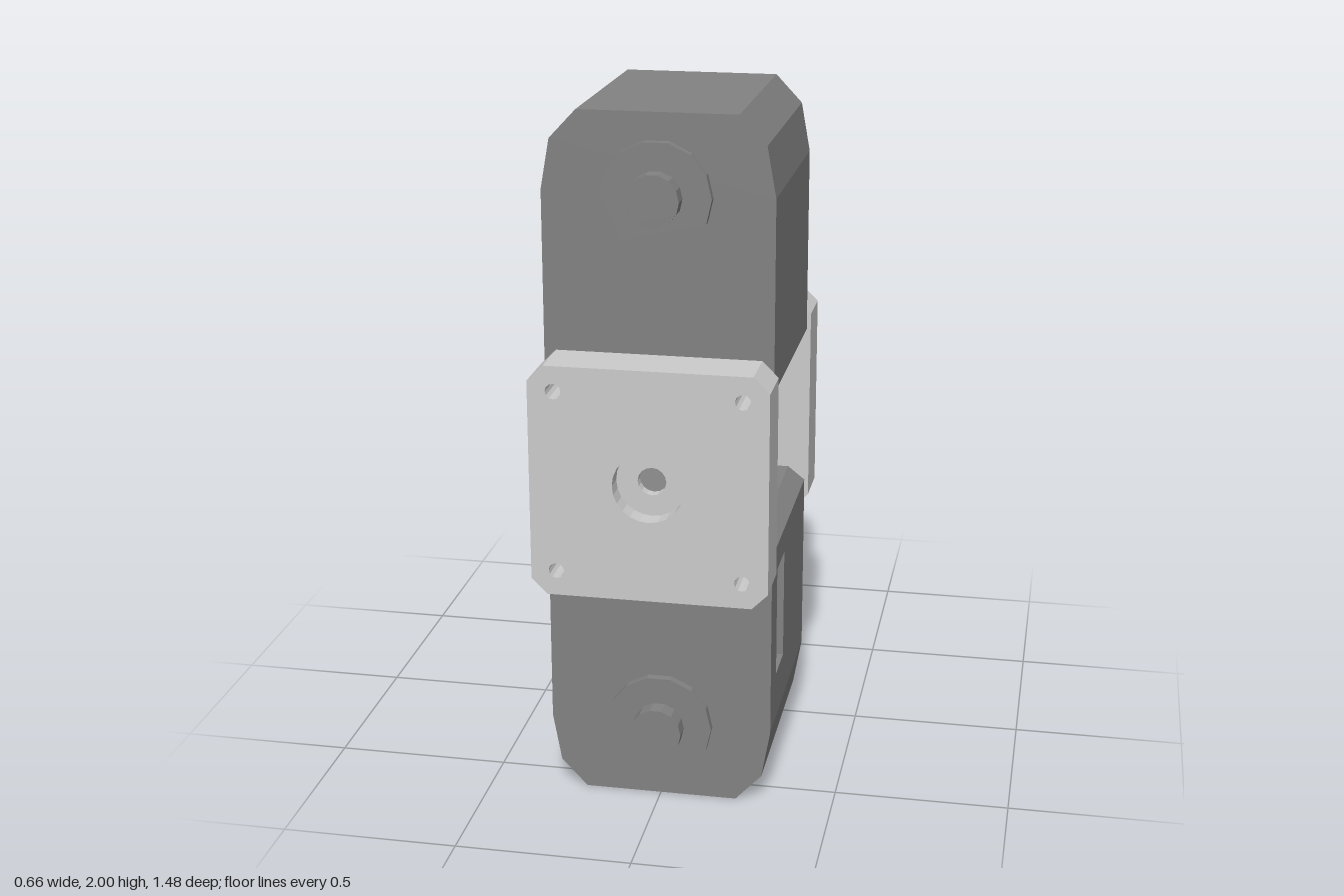
import * as THREE from 'three';

const light = new THREE.MeshStandardMaterial({ color: 0xcccccc, flatShading: true });
const dark = new THREE.MeshStandardMaterial({ color: 0x828282, flatShading: true });

function add(parent, name, geometry, material) {
  const mesh = new THREE.Mesh(geometry, material);
  mesh.name = name;
  parent.add(mesh);
  return mesh;
}

const polygon = (points) => new THREE.Shape(points.map(([x, y]) => new THREE.Vector2(x, y)));

function ring(x, y, r, n, turn = 0) {
  const points = [];
  for (let i = 0; i < n; i++) {
    const a = turn + (i / n) * Math.PI * 2;
    points.push([x + r * Math.cos(a), y + r * Math.sin(a)]);
  }
  return polygon(points);
}

// Extrudes a shape with holes along z, between z0 and z1
function slab(shape, holes, z0, z1) {
  shape.holes.push(...holes);
  return new THREE.ExtrudeGeometry(shape, { depth: z1 - z0, bevelEnabled: false }).translate(0, 0, z0);
}

// Same, but the shape lies flat: shape y points to the back, extruded upwards
const flatSlab = (shape, holes, y0, y1) => slab(shape, holes, y0, y1).rotateX(-Math.PI / 2);

// Servo outline, with notches [y0, y1, depth] cut from its +x side
function servoOutline(notches) {
  const points = [[-0.22, 0], [0.22, 0], [0.295, 0.08], [0.32, 0.22]];
  for (const [y0, y1, d] of notches) {
    points.push([0.32, y0], [0.32 - d, y0], [0.32 - d, y1], [0.32, y1]);
  }
  points.push([0.32, 0.76], [0.27, 0.8], [-0.27, 0.8], [-0.32, 0.76], [-0.32, 0.22], [-0.295, 0.08]);
  return polygon(points);
}

function createServo(name) {
  const servo = new THREE.Group();
  servo.name = name;

  // Body in slices from back to front; the middle ones hold the cable socket
  const solid = [];
  const recess = [[0.36, 0.685, 0.02]];
  const slices = [
    [-0.05, 0.355, solid], [0.355, 0.385, recess], [0.385, 0.46, null],
    [0.46, 0.49, recess], [0.49, 0.59, solid],
  ];
  for (const [z0, z1, notches] of slices) {
    let outline;
    if (notches) {
      outline = servoOutline(notches);
    } else {
      // Recess with two deeper pockets
      const s = 0.3, p = 0.24;
      outline = polygon([
        [-0.22, 0], [0.22, 0], [0.295, 0.08], [0.32, 0.22],
        [0.32, 0.36], [s, 0.36], [s, 0.385], [p, 0.385], [p, 0.505], [s, 0.505],
        [s, 0.535], [p, 0.535], [p, 0.66], [s, 0.66], [s, 0.685], [0.32, 0.685],
        [0.32, 0.76], [0.27, 0.8], [-0.27, 0.8], [-0.32, 0.76], [-0.32, 0.22], [-0.295, 0.08],
      ]);
    }
    add(servo, 'servoBody', slab(outline, [], z0, z1), dark);
  }

  // Output discs and shafts on both faces
  const y = 0.225;
  add(servo, 'frontDisc', slab(ring(0, y, 0.152, 14), [], 0.59, 0.615), dark);
  add(servo, 'frontShaft', slab(ring(0, y, 0.073, 14), [], 0.59, 0.665), dark);
  add(servo, 'backDisc', slab(ring(0, y, 0.152, 14), [], -0.075, -0.05), dark);
  add(servo, 'backShaft', slab(ring(0, y, 0.073, 14), [], -0.16, -0.05), dark);
  return servo;
}

// Square plate with a round recess in front, a square one behind and a through hole
function createPlate(name, zBack) {
  const plate = new THREE.Group();
  plate.name = name;
  const h = 0.332, c = 0.287, q = 0.11;
  const outline = () => polygon([
    [-c, 1 - h], [c, 1 - h], [h, 1 - c], [h, 1 + c],
    [c, 1 + h], [-c, 1 + h], [-h, 1 + c], [-h, 1 - c],
  ]);
  const square = polygon([[-q, 1 - q], [q, 1 - q], [q, 1 + q], [-q, 1 + q]]);
  const layers = [
    [0, 0.065, square],
    [0.065, 0.095, ring(0, 1, 0.04, 16)],
    [0.095, 0.15, ring(0, 1, 0.1, 24)],
  ];
  for (const [z0, z1, opening] of layers) {
    const screws = [];
    for (const sx of [-1, 1]) for (const sy of [-1, 1]) {
      screws.push(ring(sx * 0.26, 1 + sy * 0.26, 0.022, 12));
    }
    add(plate, 'plateLayer', slab(outline(), [opening, ...screws], zBack + z0, zBack + z1), light);
  }
  return plate;
}

// Hinge arm outline, seen from above, with a rounded eye at the end
const eye = 0.545;
function armOutline() {
  const points = [[-0.2, 0.05], [0.2, 0.05], [0.2, 0.22], [0.125, 0.32], [0.125, 0.41]];
  for (let i = 0; i <= 6; i++) {
    const a = (i / 6) * Math.PI;
    points.push([0.197 * Math.cos(a), eye + 0.197 * Math.sin(a)]);
  }
  points.push([-0.125, 0.41], [-0.125, 0.32], [-0.2, 0.22]);
  return polygon(points);
}

function createArm(name, y0, y1, bore, collarRadius, collarY0, collarY1, footY) {
  const arm = new THREE.Group();
  arm.name = name;
  add(arm, 'hingeArm', flatSlab(armOutline(), [ring(0, eye, bore, 16)], y0, y1), light);
  add(arm, 'collar', flatSlab(ring(0, eye, collarRadius, 16), [ring(0, eye, bore, 16)], collarY0, collarY1), light);
  // Foot that joins the arm to the back plate
  add(arm, 'armFoot', new THREE.BoxGeometry(0.4, 0.026, 0.15).translate(0, footY, -0.125), light);
  return arm;
}

export function createModel() {
  const model = new THREE.Group();
  model.name = 'servoJoint';

  // The upper servo is the lower one turned over about the z axis
  const lower = createServo('lowerServo');
  const upper = createServo('upperServo');
  upper.rotation.z = Math.PI;
  upper.position.y = 2;
  model.add(lower, upper);

  model.add(createPlate('frontPlate', 0.59), createPlate('backPlate', -0.2));

  model.add(
    createArm('upperArm', 1.36, 1.472, 0.09, 0.148, 1.472, 1.486, 1.347),
    createArm('lowerArm', 0.535, 0.645, 0.038, 0.097, 0.525, 0.535, 0.657),
  );
  return model;
}
